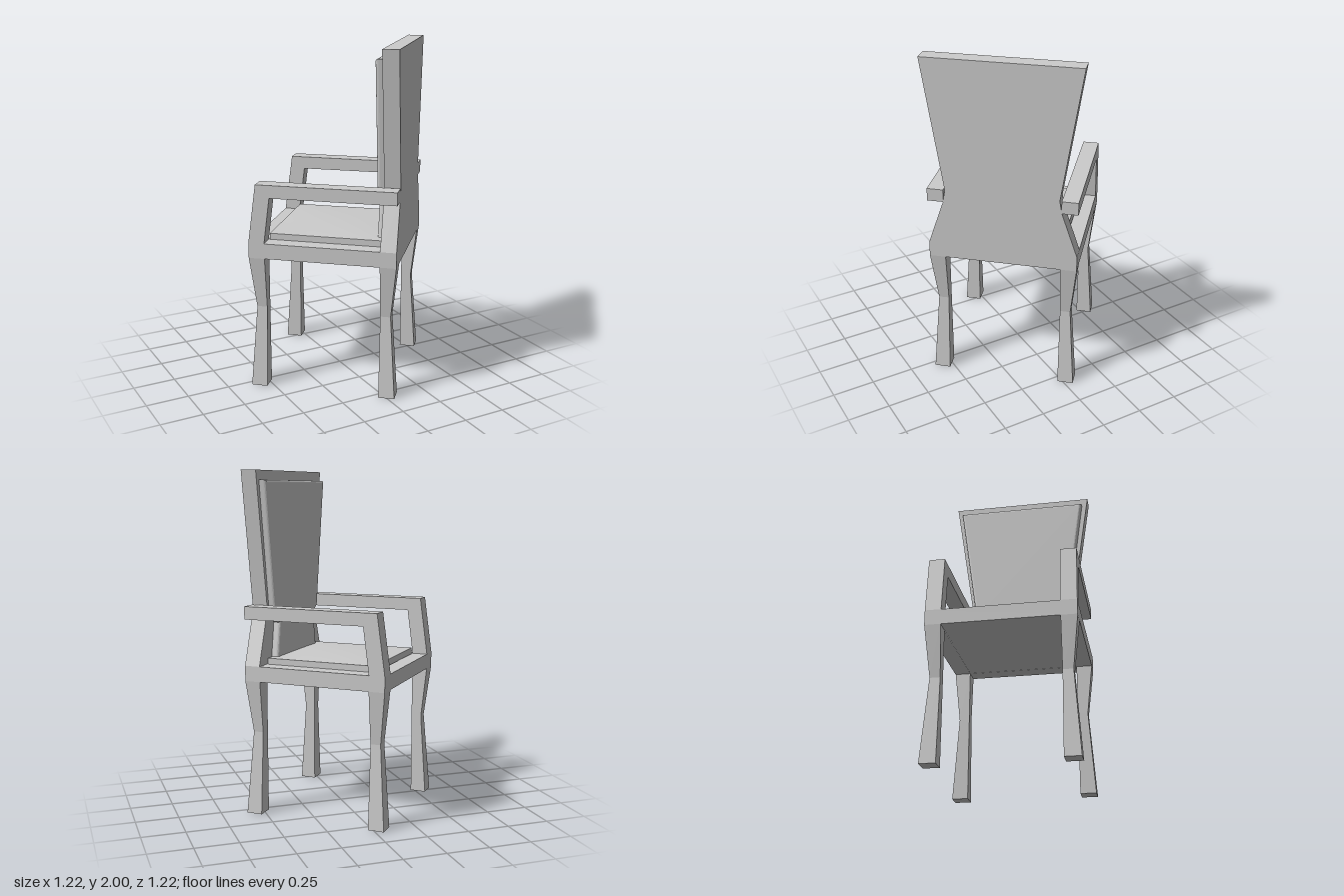
import * as THREE from 'three';

const OUT = 0.43, IN = 0.336;          // outer and inner half width of the frame
const BACK = -0.421, FRONT = 0.437;    // rear and front faces
const POST = 0.094;                    // thickness of legs, rails and back
const SEAT_LOW = 0.795, SEAT_TOP = 0.885, KNEE = 0.49;

const wood = new THREE.MeshStandardMaterial({ color: 0xcccccc, flatShading: true });
const padding = new THREE.MeshStandardMaterial({ color: 0xcccccc });

function part(parent, name, geometry, material = wood) {
  const mesh = new THREE.Mesh(geometry, material);
  mesh.name = name;
  parent.add(mesh);
  return mesh;
}

// Closed shape from the right half of a symmetric outline, listed bottom to top
function mirroredShape(half) {
  const left = half.map(([x, y]) => [-x, y]).reverse();
  return new THREE.Shape([...half, ...left].map(([x, y]) => new THREE.Vector2(x, y)));
}

// Leg with straight inner faces; the two outer faces pinch in at the knee
function legGeometry(sx, sz) {
  const g = new THREE.BoxGeometry(1, 2, 1, 1, 2, 1);
  const p = g.attributes.position;
  const outerZ = sz > 0 ? FRONT : BACK;
  for (let i = 0; i < p.count; i++) {
    const level = Math.round(p.getY(i));
    const pinch = level === 0 ? 0.034 : 0;
    const x = p.getX(i) * sx > 0 ? OUT - pinch : IN;
    const z = p.getZ(i) * sz > 0 ? outerZ - sz * pinch : outerZ - sz * POST;
    p.setXYZ(i, sx * x, level < 0 ? 0 : level === 0 ? KNEE : SEAT_LOW, z);
  }
  return g;
}

// Armrest and its leaning front post, cut from one side profile
function armGeometry(sx) {
  const shape = new THREE.Shape([
    [BACK, 1.155], [0.309, 1.155], [0.344, SEAT_TOP],
    [FRONT, SEAT_TOP], [0.39, 1.23], [BACK, 1.23],
  ].map(([z, y]) => new THREE.Vector2(z, y)));
  const g = new THREE.ExtrudeGeometry(shape, { depth: POST, bevelEnabled: false });
  g.rotateY(-Math.PI / 2);
  return g.translate(sx > 0 ? OUT : -IN, 0, 0);
}

// Rectangular ring of seat rails
function seatFrameGeometry() {
  const rect = (w, z0, z1) => [[-w, -z0], [w, -z0], [w, -z1], [-w, -z1]]
    .map(([x, y]) => new THREE.Vector2(x, y));
  const shape = new THREE.Shape(rect(OUT, BACK, FRONT));
  shape.holes.push(new THREE.Path(rect(IN, BACK + POST, FRONT - POST)));
  const g = new THREE.ExtrudeGeometry(shape, { depth: SEAT_TOP - SEAT_LOW, bevelEnabled: false });
  g.rotateX(-Math.PI / 2);
  return g.translate(0, SEAT_LOW, 0);
}

// Seat pad with a gently domed top
function seatCushionGeometry() {
  const w = 2 * IN - 0.01, d = FRONT - BACK - 2 * POST - 0.01;
  const g = new THREE.BoxGeometry(w, 0.12, d, 12, 1, 12);
  const p = g.attributes.position;
  for (let i = 0; i < p.count; i++) {
    if (p.getY(i) < 0) continue;
    const a = 2 * p.getX(i) / w, b = 2 * p.getZ(i) / d;
    p.setY(i, p.getY(i) + 0.012 * (1 - a * a) * (1 - b * b));
  }
  g.computeVertexNormals();
  return g.translate(0, 0.86, (FRONT + BACK) / 2);
}

export function createModel() {
  const model = new THREE.Group();
  model.name = 'armchair';
  const chair = new THREE.Group();
  chair.name = 'chair';
  chair.rotation.y = Math.atan2(-0.75, -0.66);   // chair stands turned on the floor
  model.add(chair);

  for (const sx of [1, -1]) {
    const side = sx > 0 ? 'Left' : 'Right';
    part(chair, 'front' + side + 'Leg', legGeometry(sx, 1));
    part(chair, 'rear' + side + 'Leg', legGeometry(sx, -1));
    part(chair, 'arm' + side, armGeometry(sx));
  }

  part(chair, 'seatFrame', seatFrameGeometry());
  const base = part(chair, 'seatBase',
    new THREE.BoxGeometry(2 * IN, 0.01, FRONT - BACK - 2 * POST));
  base.position.set(0, SEAT_LOW + 0.006, (FRONT + BACK) / 2);
  part(chair, 'seatCushion', seatCushionGeometry(), padding);

  // Back panel, waisted at the armrests and flaring to the top
  const panel = mirroredShape([
    [OUT, SEAT_LOW], [OUT, SEAT_TOP], [0.338, 1.155], [0.325, 1.23], [0.443, 2],
  ]);
  part(chair, 'backPanel',
    new THREE.ExtrudeGeometry(panel, { depth: POST - 0.001, bevelEnabled: false }))
    .position.z = BACK;

  // Padded back with rounded edges
  const pad = mirroredShape([
    [0.275, 0.9], [0.24, 1.12], [0.295, 1.165], [0.405, 1.945],
  ]);
  part(chair, 'backCushion', new THREE.ExtrudeGeometry(pad, {
    depth: 0.025, bevelThickness: 0.018, bevelSize: 0.016, bevelOffset: -0.016, bevelSegments: 4,
  }), padding).position.z = BACK + POST;

  return model;
}
